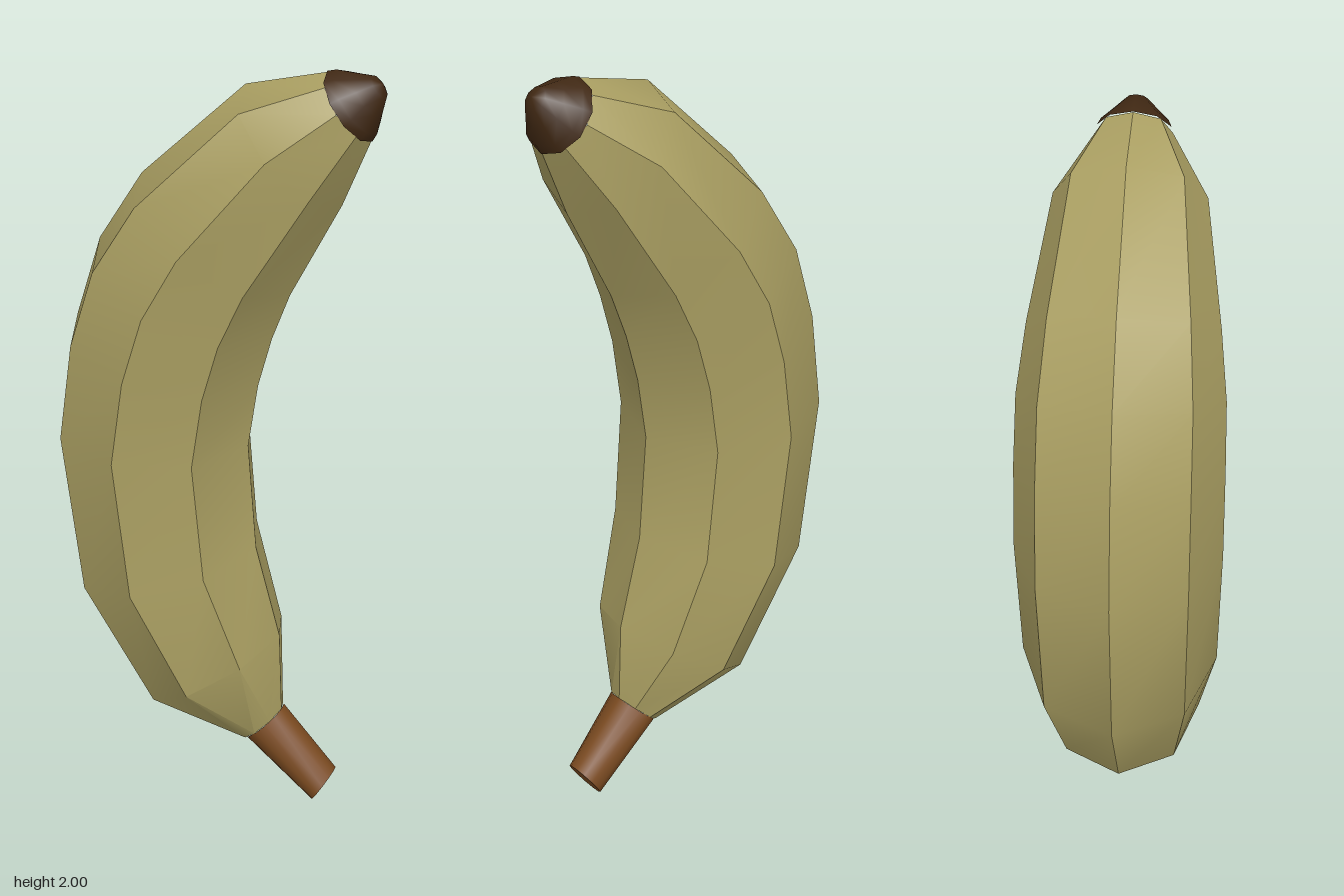
import * as THREE from 'three';
import { toCreasedNormals } from 'three/addons/utils/BufferGeometryUtils.js';

// Skin a list of rings, each [outerX, outerY, innerX, innerY, half depth in z].
function skin(name, rings, sides, color, crease) {
  const pos = [], index = [];
  for (const [ox, oy, ix, iy, depth] of rings) {
    const cx = (ox + ix) / 2, cy = (oy + iy) / 2;
    for (let j = 0; j < sides; j++) {
      const a = (j / sides) * Math.PI * 2;
      pos.push(cx + (ox - cx) * Math.cos(a), cy + (oy - cy) * Math.cos(a), depth * Math.sin(a));
    }
  }
  for (let i = 0; i < rings.length - 1; i++) {
    for (let j = 0; j < sides; j++) {
      const k = (j + 1) % sides;
      const a = i * sides + j, b = i * sides + k;
      index.push(a, b, b + sides, a, b + sides, a + sides);
    }
  }
  const geo = new THREE.BufferGeometry();
  geo.setAttribute('position', new THREE.Float32BufferAttribute(pos, 3));
  geo.setIndex(index);
  const mesh = new THREE.Mesh(toCreasedNormals(geo, crease), new THREE.MeshStandardMaterial({ color }));
  mesh.name = name;
  return mesh;
}

// Ring square to the tip's axis, at distance s along it.
function tipRing(s, r) {
  const x = 0.335 + s * 0.8, y = 1.922 + s * 0.6;
  return [x - r * 0.6, y + r * 0.8, x + r * 0.6, y - r * 0.8, r];
}

export function createModel() {
  const group = new THREE.Group();
  group.name = 'banana';

  // Curved eight-sided peel, from stem to tip
  group.add(skin('peel', [
    [0.10, 0.16, 0.20, 0.26, 0.07],
    [-0.165, 0.265, 0.19, 0.49, 0.21],
    [-0.365, 0.60, 0.12, 0.74, 0.255],
    [-0.42, 1.05, 0.095, 1.03, 0.26],
    [-0.38, 1.32, 0.12, 1.20, 0.257],
    [-0.31, 1.53, 0.155, 1.33, 0.252],
    [-0.19, 1.71, 0.20, 1.45, 0.232],
    [0.08, 1.95, 0.325, 1.69, 0.185],
    [0.28, 1.995, 0.39, 1.85, 0.092],
  ], 8, 0xaa9f62, 0.6));

  // Short tapered stem with a flat cut end
  group.add(skin('stem', [
    [0.328, 0.055, 0.328, 0.055, 0],
    [0.30, 0.005, 0.355, 0.10, 0.055],
    [0.105, 0.165, 0.20, 0.26, 0.07],
  ], 12, 0x7a4a20, 0.8));

  // Dark blossom tip
  group.add(skin('blossomTip', [
    tipRing(0, 0.094), tipRing(0.02, 0.085), tipRing(0.052, 0.057),
    tipRing(0.084, 0.03), tipRing(0.096, 0),
  ], 10, 0x402813, 0.7));

  return group;
}
